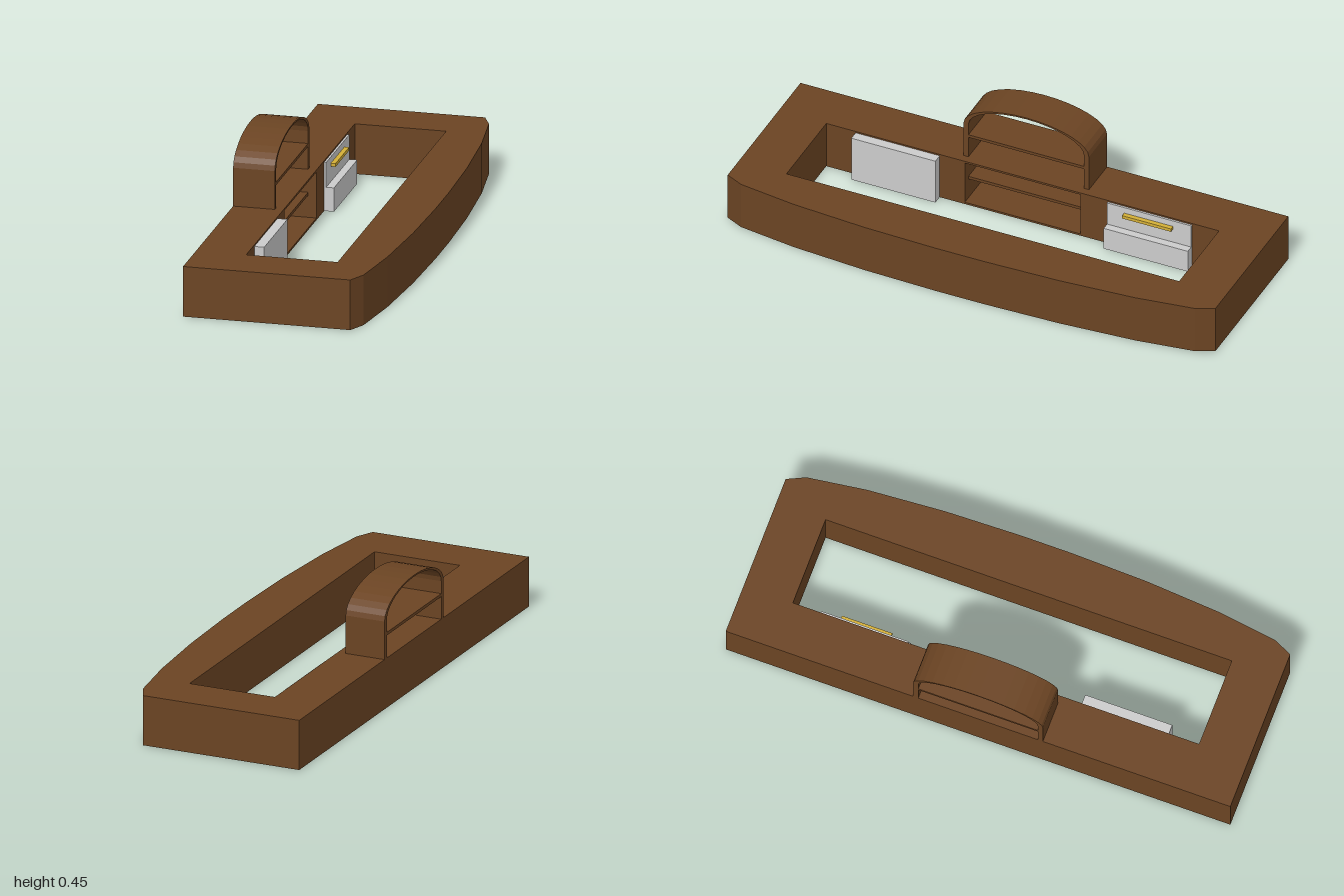
import * as THREE from 'three';

const brown = new THREE.MeshStandardMaterial({ color: 0x6b4423, flatShading: true });
const grey = new THREE.MeshStandardMaterial({ color: 0xcccccc, flatShading: true });
const gold = new THREE.MeshStandardMaterial({ color: 0xd4af37, flatShading: true });

const H = 0.196; // counter height

// Box given by its minimum and maximum corners
function box(name, mat, [x0, x1], [y0, y1], [z0, z1]) {
  const mesh = new THREE.Mesh(new THREE.BoxGeometry(x1 - x0, y1 - y0, z1 - z0), mat);
  mesh.position.set((x0 + x1) / 2, (y0 + y1) / 2, (z0 + z1) / 2);
  mesh.name = name;
  return mesh;
}

const points = list => list.map(([x, y]) => new THREE.Vector2(x, y));

// One horizontal layer of the ring-shaped counter; recess opens the inner back wall
function counterLayer(name, y0, y1, recess) {
  const bow = [[0.272, 1], [0.305, 0.93], [0.337, 0.7], [0.358, 0.4], [0.366, 0.1]];
  const mirrored = bow.map(([x, z]) => [x, -z]).reverse();
  const shape = new THREE.Shape(points([[-0.37, 1], ...bow, ...mirrored, [-0.37, -1]]));
  const notch = recess ? [[-0.178, 0.237], [-0.358, 0.237], [-0.358, -0.237], [-0.178, -0.237]] : [];
  shape.holes.push(new THREE.Path(points(
    [[0.173, -0.805], [0.173, 0.805], [-0.178, 0.805], ...notch, [-0.178, -0.805]])));
  const geo = new THREE.ExtrudeGeometry(shape, { depth: y1 - y0, bevelEnabled: false });
  geo.rotateX(-Math.PI / 2).translate(0, y0, 0);
  const mesh = new THREE.Mesh(geo, brown);
  mesh.name = name;
  return mesh;
}

// Outline of the arch: straight sides with a flat elliptical crown
function archOutline(a, b, n = 16) {
  const pts = [[a, H]];
  for (let i = 0; i <= n; i++) {
    const t = (i / n) * Math.PI;
    pts.push([a * Math.cos(t), 0.346 + b * Math.sin(t)]);
  }
  pts.push([-a, H]);
  return pts;
}

export function createModel() {
  const model = new THREE.Group();
  model.name = 'barCounter';

  // Counter ring with a shelf recess in its back side
  model.add(
    counterLayer('counterBase', 0, 0.008, false),
    counterLayer('counterBody', 0.008, 0.188, true),
    counterLayer('counterTop', 0.188, H, false));

  // Open arched shelf unit standing on the counter
  const arch = new THREE.Shape(points(
    [...archOutline(0.257, 0.101), ...archOutline(0.237, 0.095).reverse()]));
  const archGeo = new THREE.ExtrudeGeometry(arch, { depth: 0.16, bevelEnabled: false });
  archGeo.rotateY(Math.PI / 2).translate(-0.37, 0, 0);
  const archMesh = new THREE.Mesh(archGeo, brown);
  archMesh.name = 'shelfArch';
  model.add(archMesh);

  // Shelves in the arch and in the recess
  model.add(
    box('upperShelf', brown, [-0.37, -0.21], [0.285, 0.297], [-0.237, 0.237]),
    box('lowerShelf', brown, [-0.36, -0.21], [0.094, 0.106], [-0.237, 0.237]));

  // Closed cabinet on the inner wall
  model.add(box('cabinet', grey, [-0.178, -0.14], [0, 0.19], [0.34, 0.685]));

  // Sink unit: low trough, splash panel and rail
  const sink = new THREE.Group();
  sink.name = 'sinkUnit';
  sink.add(
    box('trough', grey, [-0.178, -0.14], [0, 0.093], [-0.695, -0.35]),
    box('splashPanel', grey, [-0.178, -0.17], [0.093, 0.19], [-0.695, -0.35]),
    box('rail', gold, [-0.17, -0.152], [0.152, 0.165], [-0.62, -0.42]));
  model.add(sink);

  return model;
}
